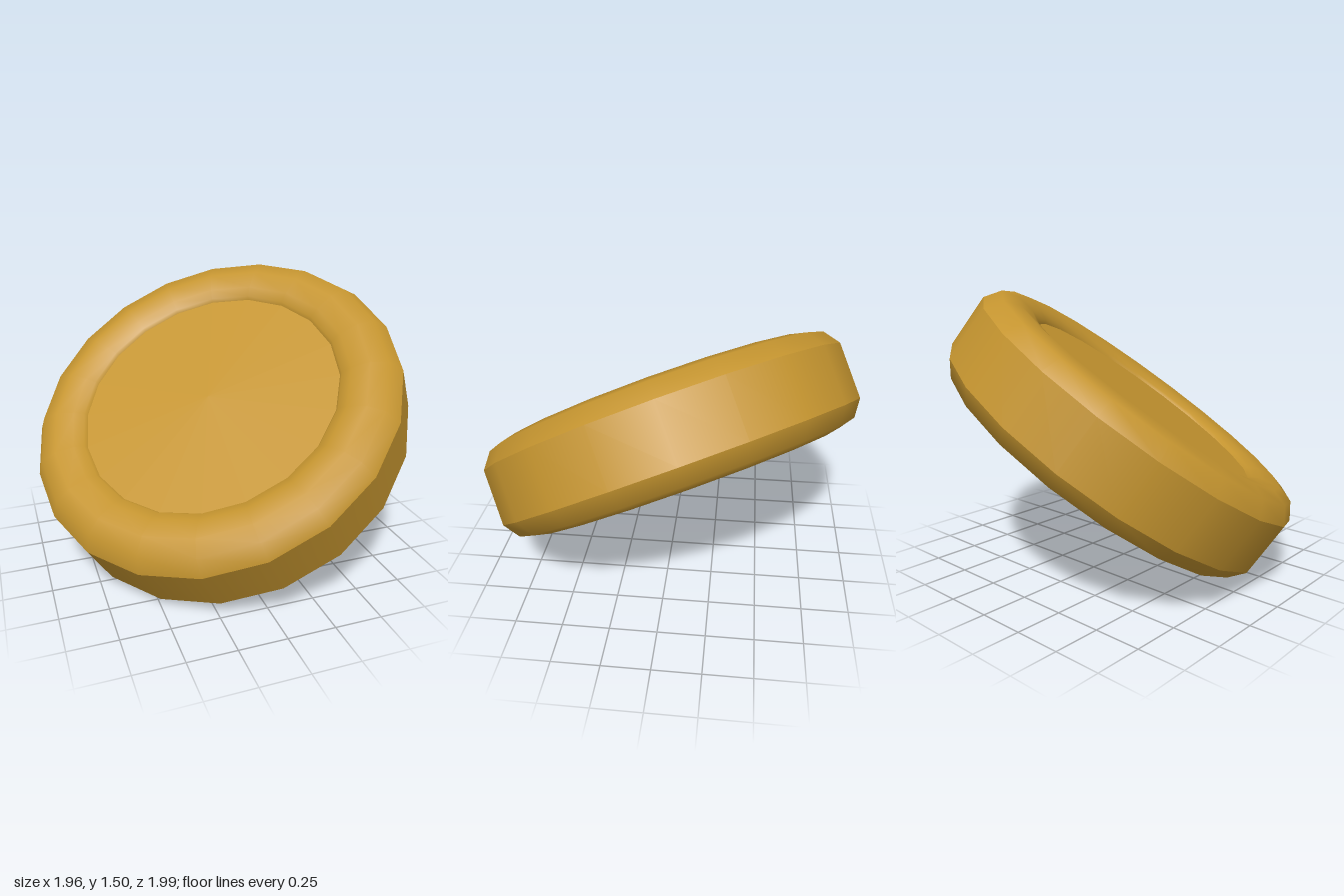
import * as THREE from 'three';

const SIDES = 20;

export function createModel() {
  const gold = new THREE.MeshStandardMaterial({ color: 0xc4942f });
  gold.name = 'gold';

  // revolve a (radius, height) profile around the disc axis
  const turned = (name, points) => {
    const profile = points.map(([r, h]) => new THREE.Vector2(r, h));
    const mesh = new THREE.Mesh(new THREE.LatheGeometry(profile, SIDES), gold);
    mesh.name = name;
    return mesh;
  };

  const disc = new THREE.Group();
  disc.name = 'disc';

  // straight outer edge
  disc.add(turned('outerRim', [[1.02, -0.15], [1.02, 0.15]]));

  // both faces: rounded raised border around a sunken flat centre
  for (const side of ['upper', 'lower']) {
    const face = new THREE.Group();
    face.name = side + 'Face';
    face.add(turned(side + 'Border', [
      [1.02, 0.15], [0.96, 0.235], [0.87, 0.26], [0.77, 0.24], [0.72, 0.215], [0.705, 0.19],
    ]));
    face.add(turned(side + 'Centre', [[0.71, 0.195], [0, 0.195]]));
    if (side === 'lower') face.rotation.x = Math.PI;
    disc.add(face);
  }
  disc.rotation.y = THREE.MathUtils.degToRad(-2);

  // lean the disc so its axis points up, left and forward
  const axis = new THREE.Vector3(-0.44, 0.81, 0.385).normalize();
  const across = new THREE.Vector3(1, 0, 0).addScaledVector(axis, -axis.x).normalize();
  const down = new THREE.Vector3().crossVectors(across, axis);
  const tilted = new THREE.Group();
  tilted.name = 'tiltedDisc';
  tilted.quaternion.setFromRotationMatrix(new THREE.Matrix4().makeBasis(across, axis, down));
  tilted.add(disc);

  const model = new THREE.Group();
  model.name = 'coin';
  model.add(tilted);

  // rest on the ground
  model.updateMatrixWorld(true);
  tilted.position.y = -new THREE.Box3().setFromObject(model, true).min.y;
  return model;
}
